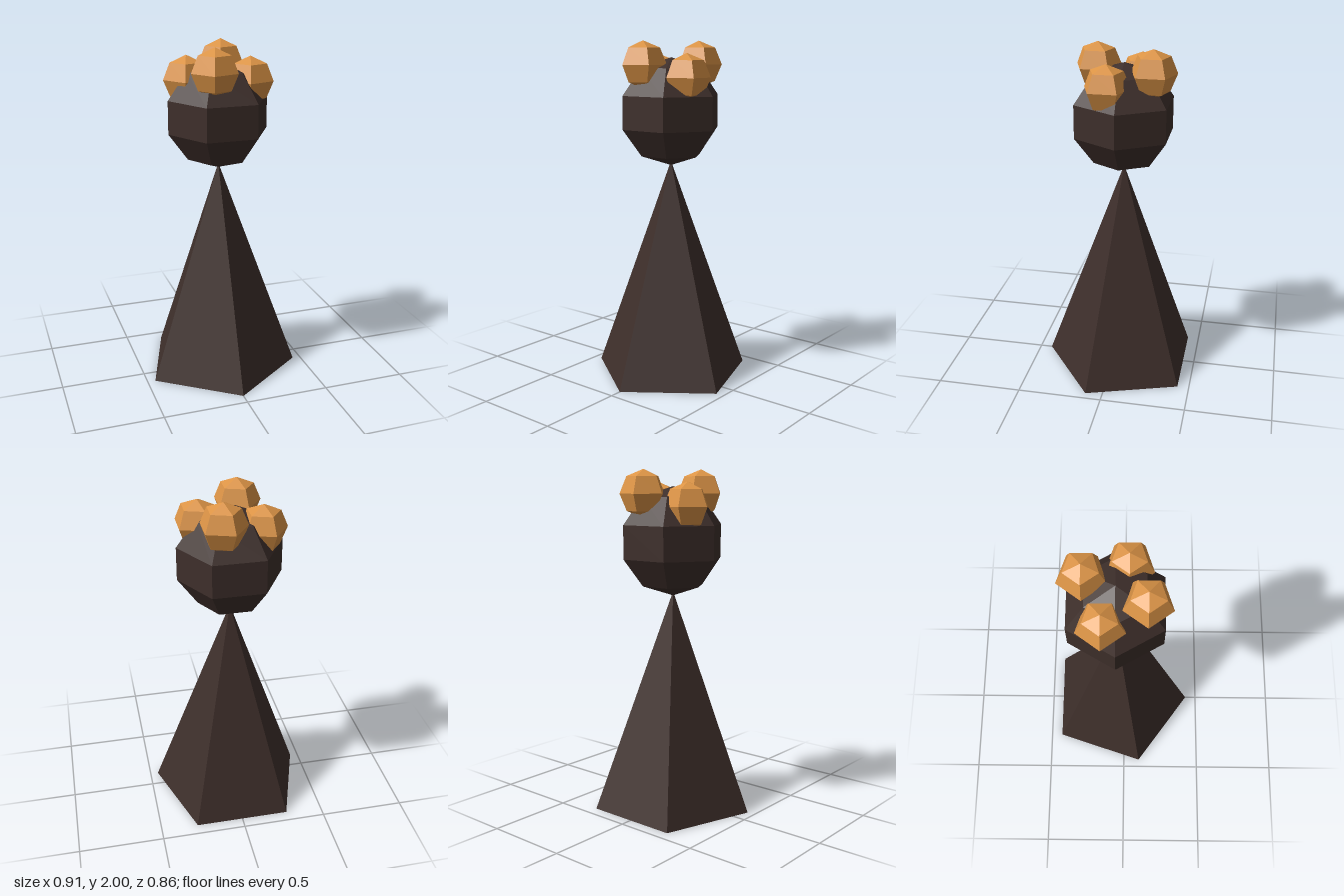
import * as THREE from 'three';

export function createModel() {
  const model = new THREE.Group();
  const dark = new THREE.MeshStandardMaterial({ color: 0x3e2f2b, flatShading: true });
  const orange = new THREE.MeshStandardMaterial({ color: 0xdc9446, flatShading: true });

  function add(name, geometry, material, x, y, z) {
    const mesh = new THREE.Mesh(geometry, material);
    mesh.name = name;
    mesh.position.set(x, y, z);
    model.add(mesh);
  }

  const axisZ = -0.046; // shared vertical axis of body and head

  // Five-sided pyramid body, one corner facing the front
  const bodyHeight = 1.3;
  add('body', new THREE.ConeGeometry(0.476, bodyHeight, 5), dark, 0, bodyHeight / 2, axisZ);

  // Faceted head balanced on the tip
  add('head', new THREE.SphereGeometry(0.315, 6, 5), dark, 0, 1.59, axisZ);

  // Four hair buns sunk into the top of the head
  const bun = new THREE.SphereGeometry(0.137, 5, 4);
  const buns = {
    frontBun: [-0.073, 1.863, 0.12],
    backBun: [0.071, 1.863, -0.218],
    leftBun: [0.168, 1.793, 0.025],
    rightBun: [-0.168, 1.793, -0.12],
  };
  for (const [name, [x, y, z]] of Object.entries(buns)) add(name, bun, orange, x, y, z);

  return model;
}
